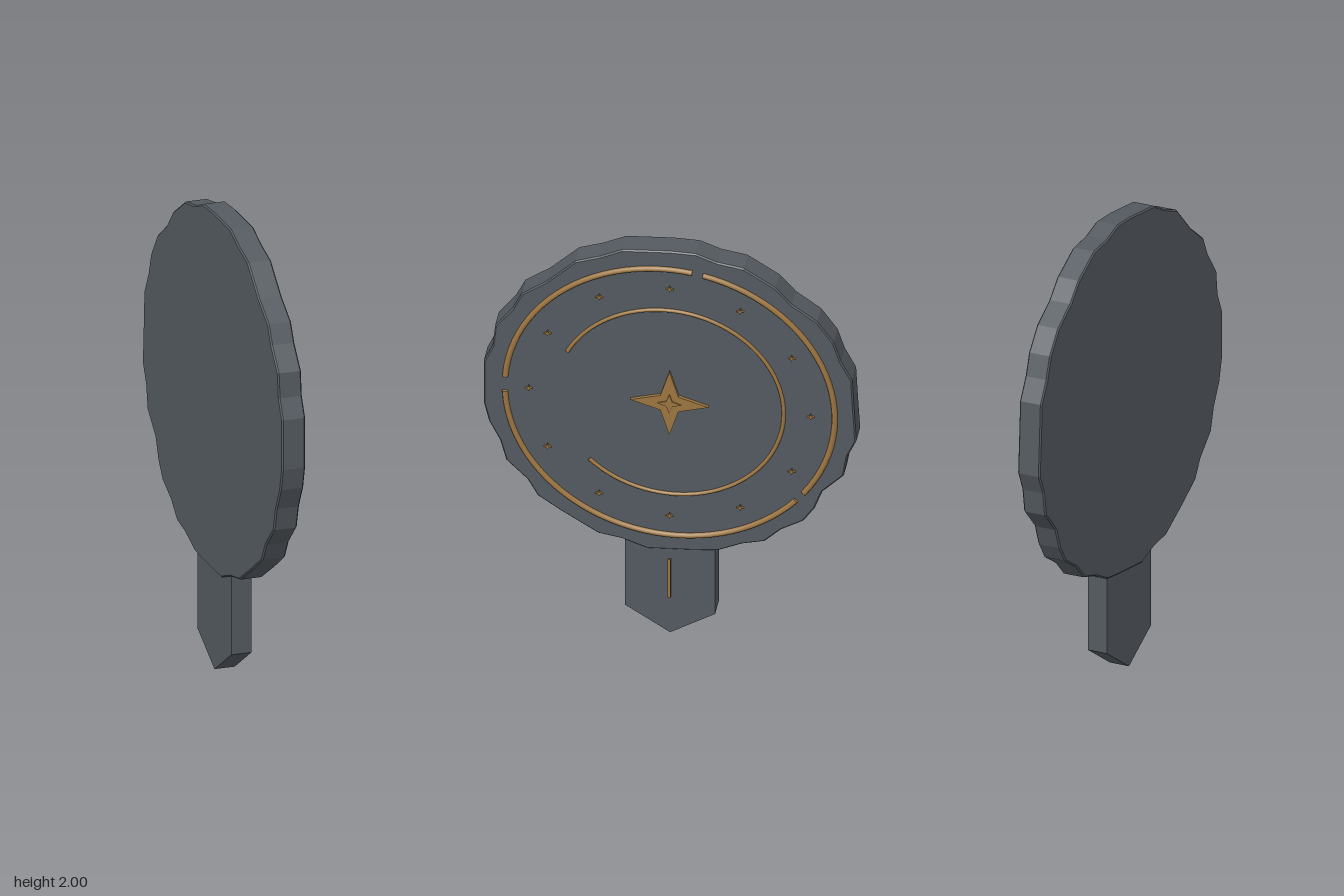
import * as THREE from 'three';
import { mergeGeometries } from 'three/addons/utils/BufferGeometryUtils.js';

const CY = 1.214; // height of the disc centre
const rad = THREE.MathUtils.degToRad;

export function createModel() {
  const slate = new THREE.MeshStandardMaterial({ name: 'slate', color: 0x545a60 });
  const gold = new THREE.MeshStandardMaterial({ name: 'antique gold', color: 0x9c7540 });

  // Everything is drawn facing local +z, then turned to face +x
  const model = new THREE.Group();
  model.name = 'medallion';
  const face = new THREE.Group();
  face.name = 'medallionBody';
  face.rotation.y = Math.PI / 2;
  model.add(face);

  const add = (name, geometry, material, x = 0, y = 0, z = 0) => {
    const mesh = new THREE.Mesh(geometry, material);
    mesh.name = name;
    mesh.position.set(x, y, z);
    face.add(mesh);
    return mesh;
  };

  const plate = (points, depth, bevel = 0) => {
    const shape = new THREE.Shape(points.map(([x, y]) => new THREE.Vector2(x, y)));
    const geometry = new THREE.ExtrudeGeometry(shape, {
      depth: depth - 2 * bevel, bevelEnabled: bevel > 0, bevelSegments: 1,
      bevelSize: bevel, bevelThickness: bevel, bevelOffset: -bevel,
    });
    return geometry.translate(0, 0, bevel);
  };

  // Chipped disc outline, clockwise from the top
  const rim = [
    [0, 2], [0.11, 2], [0.2, 1.967], [0.31, 1.95], [0.445, 1.865], [0.515, 1.785],
    [0.62, 1.71], [0.69, 1.61], [0.72, 1.515], [0.768, 1.42], [0.775, 1.28],
    [0.785, 1.105], [0.748, 1.02], [0.732, 0.917], [0.642, 0.822], [0.61, 0.732],
    [0.562, 0.658], [0.467, 0.6], [0.398, 0.53], [0.302, 0.504], [0.2, 0.456],
    [0.1, 0.445], [-0.095, 0.43], [-0.2, 0.467], [-0.302, 0.483], [-0.456, 0.578],
    [-0.557, 0.647], [-0.6, 0.726], [-0.69, 0.817], [-0.716, 0.917], [-0.763, 1.013],
    [-0.785, 1.108], [-0.785, 1.325], [-0.748, 1.41], [-0.737, 1.516], [-0.663, 1.617],
    [-0.626, 1.697], [-0.52, 1.776], [-0.398, 1.898], [-0.297, 1.935], [-0.2, 1.983],
  ];
  add('disc', plate(rim, 0.105, 0.006), slate, 0, 0, -0.065);

  // Pointed tang below the disc
  const tang = [[0, 0], [0.19, 0.12], [0.19, 0.46], [-0.19, 0.46], [-0.19, 0.12]];
  add('tang', plate(tang, 0.09), slate, 0, 0, -0.055);
  add('tangLine', new THREE.BoxGeometry(0.012, 0.2, 0.008), gold, 0, 0.3, 0.056);

  // Raised arcs; angles run clockwise from the top, in degrees
  const arc = (name, radius, tube, from, to) => {
    const sweep = rad(to - from);
    const cap = (turn) => new THREE.CircleGeometry(tube, 8).rotateX(turn).translate(radius, 0, 0);
    const geometry = mergeGeometries([
      new THREE.TorusGeometry(radius, tube, 8, Math.ceil((to - from) / 4), sweep),
      cap(Math.PI / 2),
      cap(-Math.PI / 2).rotateZ(sweep),
    ]);
    add(name, geometry, gold, 0, CY, 0.042).rotation.z = rad(90 - to);
  };
  [[11.5, 125.7], [130, 267.8], [274, 367.8]].forEach(([a, b], i) =>
    arc('outerArc' + (i + 1), 0.695, 0.0125, a, b));
  arc('innerArc', 0.48, 0.0085, 296, 585);

  // Four-pointed stars
  const star = (outer, inner, depth) => plate(Array.from({ length: 8 }, (_, i) => {
    const r = i % 2 ? inner : outer;
    return [r * Math.cos(i * Math.PI / 4), r * Math.sin(i * Math.PI / 4)];
  }), depth);
  add('centreStar', star(0.165, 0.054, 0.014), gold, 0, CY, 0.04);
  add('centreStarBoss', star(0.05, 0.018, 0.006), gold, 0, CY, 0.053);

  // Twelve small marks around the dial
  for (let i = 0; i < 12; i++) {
    const a = i * Math.PI / 6;
    add('hourStar' + (i + 1), star(0.016, 0.006, 0.01), gold,
      0.594 * Math.sin(a), CY + 0.594 * Math.cos(a), 0.04);
  }
  return model;
}
